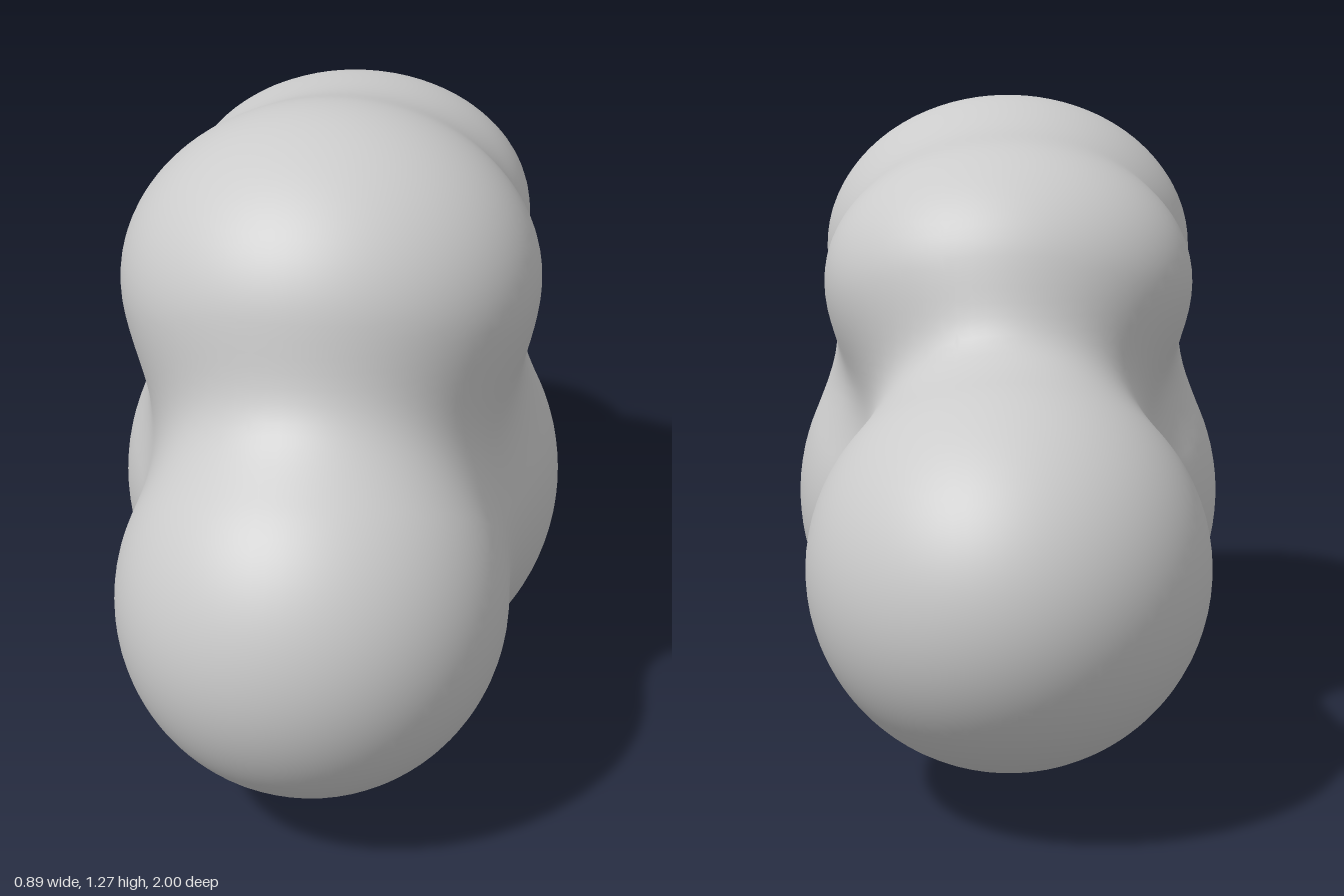
import * as THREE from 'three';

// Five ellipsoid lobes: centre (y, z) and radii; all sit on x = 0
const lobes = [
  { y: 0.445, z: 0.1, r: [0.443, 0.443, 0.445] },   // belly
  { y: 0.45, z: 0.63, r: [0.36, 0.365, 0.37] },     // front
  { y: 0.45, z: -0.575, r: [0.367, 0.362, 0.425] }, // back
  { y: 0.95, z: 0.3, r: [0.395, 0.326, 0.39] },     // top front
  { y: 0.93, z: -0.17, r: [0.36, 0.27, 0.325] },    // top back
];
const BLEND = 0.2;

// Approximate signed distance to one ellipsoid
function lobeDistance({ y, z, r }, p) {
  const a = p.x / r[0], b = (p.y - y) / r[1], c = (p.z - z) / r[2];
  const k0 = Math.hypot(a, b, c);
  const k1 = Math.hypot(a / r[0], b / r[1], c / r[2]);
  return k1 < 1e-6 ? -Math.min(...r) : (k0 * (k0 - 1)) / k1;
}

// Smooth union of all lobes
function field(p) {
  let d = Infinity;
  for (const lobe of lobes) {
    const e = lobeDistance(lobe, p);
    const h = Math.max(BLEND - Math.abs(d - e), 0);
    d = Math.min(d, e) - (h * h) / (4 * BLEND);
  }
  return d;
}

function gradient(p) {
  const e = 0.002, g = new THREE.Vector3(), q = new THREE.Vector3();
  for (const axis of ['x', 'y', 'z']) {
    q.copy(p)[axis] += e;
    const hi = field(q);
    q[axis] -= 2 * e;
    g[axis] = (hi - field(q)) / (2 * e);
  }
  return g;
}

// Surface-net mesh of the field: one vertex per crossed cell, one quad per crossed edge
function blobGeometry(step) {
  const min = new THREE.Vector3(-0.513, -0.063, -1.063);
  const n = [1.03, 1.42, 2.13].map((s) => Math.ceil(s / step) + 1);
  const stride = [1, n[0], n[0] * n[1]];
  const at = (i, j, k) => new THREE.Vector3(i, j, k).multiplyScalar(step).add(min);
  const values = new Float32Array(n[0] * n[1] * n[2]);
  const eachCell = (lo, hi, fn) => {
    for (let k = lo; k < n[2] - hi; k++)
      for (let j = lo; j < n[1] - hi; j++)
        for (let i = lo; i < n[0] - hi; i++) fn(i, j, k, i + j * stride[1] + k * stride[2]);
  };
  eachCell(0, 0, (i, j, k, id) => { values[id] = field(at(i, j, k)); });

  const positions = [], normals = [], index = [], vertexOf = new Map();
  eachCell(0, 1, (i, j, k, id) => {
    let inside = 0;
    for (let c = 0; c < 8; c++) {
      const corner = id + (c & 1) + ((c >> 1) & 1) * stride[1] + (c >> 2) * stride[2];
      if (values[corner] < 0) inside++;
    }
    if (inside === 0 || inside === 8) return;
    // Pull the cell centre onto the surface
    const p = at(i + 0.5, j + 0.5, k + 0.5);
    for (let s = 0; s < 4; s++) {
      const g = gradient(p);
      p.addScaledVector(g, -field(p) / Math.max(g.lengthSq(), 0.1));
    }
    vertexOf.set(id, positions.length / 3);
    positions.push(p.x, p.y, p.z);
    normals.push(...gradient(p).normalize().toArray());
  });

  eachCell(1, 1, (i, j, k, id) => {
    for (let a = 0; a < 3; a++) {
      const inside = values[id] < 0;
      if (inside === values[id + stride[a]] < 0) continue;
      const b = stride[(a + 1) % 3], c = stride[(a + 2) % 3];
      const quad = [id, id - b, id - b - c, id - c].map((v) => vertexOf.get(v));
      if (!inside) quad.reverse();
      index.push(quad[0], quad[1], quad[2], quad[0], quad[2], quad[3]);
    }
  });

  const geometry = new THREE.BufferGeometry();
  geometry.setAttribute('position', new THREE.Float32BufferAttribute(positions, 3));
  geometry.setAttribute('normal', new THREE.Float32BufferAttribute(normals, 3));
  geometry.setIndex(index);
  return geometry;
}

export function createModel() {
  const group = new THREE.Group();
  group.name = 'cloud';
  const material = new THREE.MeshStandardMaterial({ color: 0xcccccc });
  const body = new THREE.Mesh(blobGeometry(0.027), material);
  body.name = 'cloudBody';
  group.add(body);
  return group;
}
